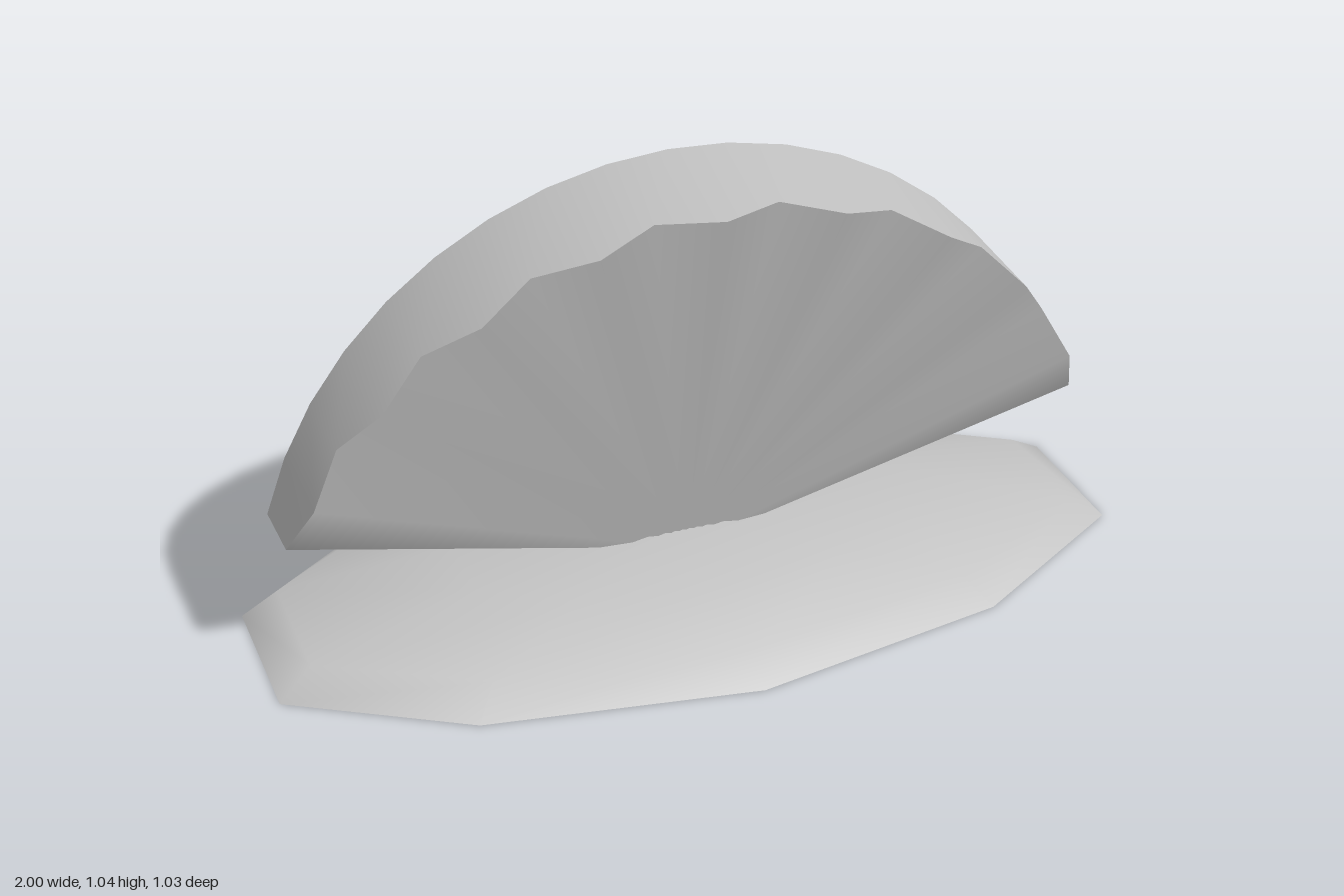
import * as THREE from 'three';

const grey = new THREE.MeshStandardMaterial({ color: 0xc4c4c4, side: THREE.DoubleSide });
grey.name = 'shell grey';

function makeMesh(name, points, index) {
  const geometry = new THREE.BufferGeometry();
  geometry.setAttribute('position', new THREE.Float32BufferAttribute(points.flat(), 3));
  geometry.setIndex(index);
  geometry.computeVertexNormals();
  const mesh = new THREE.Mesh(geometry, grey);
  mesh.name = name;
  return mesh;
}

// Triangles joining two rows of n points, row a below row b
function strip(index, a, b, n, closed) {
  for (let i = 0; i < (closed ? n : n - 1); i++) {
    const j = (i + 1) % n;
    index.push(a + i, a + j, b + j, a + i, b + j, b + i);
  }
}

// Triangles from one centre point to a row of n points
function fan(index, centre, start, n, closed) {
  for (let i = 0; i < (closed ? n : n - 1); i++) index.push(centre, start + i, start + (i + 1) % n);
}

// Low domed half: a ten-sided outline shrinking upward to an apex
function createLowerShell() {
  const outline = [
    [0, 0.515], [0.6, 0.41], [1, 0.165], [0.99, -0.16], [0.62, -0.4],
    [0, -0.515], [-0.61, -0.425], [-0.99, -0.17], [-1, 0.18], [-0.62, 0.41],
  ];
  const n = outline.length;
  const rings = [[1, 1, 0], [0.92, 0.86, 0.058], [0.52, 0.52, 0.115]];
  const points = [], index = [];
  for (const [sx, sz, y] of rings) {
    for (const [x, z] of outline) points.push([x * sx, y && y - 0.007 * x, z * sz]);
  }
  points.push([0, 0.13, 0]);
  strip(index, 0, n, n, true);
  strip(index, n, 2 * n, n, true);
  fan(index, 3 * n, 2 * n, n, true);

  // Flat underside
  const under = outline.map(([x, z]) => [x, 0, z]).reverse();
  const underIndex = [];
  fan(underIndex, n, 0, n, true);

  const group = new THREE.Group();
  group.name = 'lowerShell';
  group.add(makeMesh('lowerDome', points, index));
  group.add(makeMesh('underside', [...under, [0, 0, 0]], underIndex));
  return group;
}

// Upright fan: fluted front, curved rim and flat back, open along the bottom
function createUpperShell() {
  const radius = 0.97, centreY = 0.07, backZ = -0.075, segments = 18;
  const halfDepths = [0.075, 0.155, 0.125, 0.205, 0.17, 0.245, 0.2, 0.265, 0.215, 0.275];
  const front = [], back = [];
  for (let i = 0; i <= segments; i++) {
    const angle = THREE.MathUtils.degToRad(15 + (150 * i) / segments);
    const x = radius * Math.cos(angle), y = centreY + radius * Math.sin(angle);
    front.push([x, y, halfDepths[Math.min(i, segments - i)]]);
    back.push([x, y, backZ]);
  }
  const n = segments + 1;
  const frontIndex = [], rimIndex = [], backIndex = [];
  fan(frontIndex, n, 0, n, false);
  strip(rimIndex, n, 0, n, false);
  rimIndex.reverse();
  fan(backIndex, n, 0, n, false);

  const group = new THREE.Group();
  group.name = 'upperShell';
  group.add(makeMesh('flutedFront', [...front, [0, centreY, 0.03]], frontIndex));
  group.add(makeMesh('rim', [...front, ...back], rimIndex));
  group.add(makeMesh('flatBack', [...back.reverse(), [0, centreY, backZ]], backIndex));
  return group;
}

export function createModel() {
  const model = new THREE.Group();
  model.name = 'openShell';
  model.add(createLowerShell(), createUpperShell());
  return model;
}
